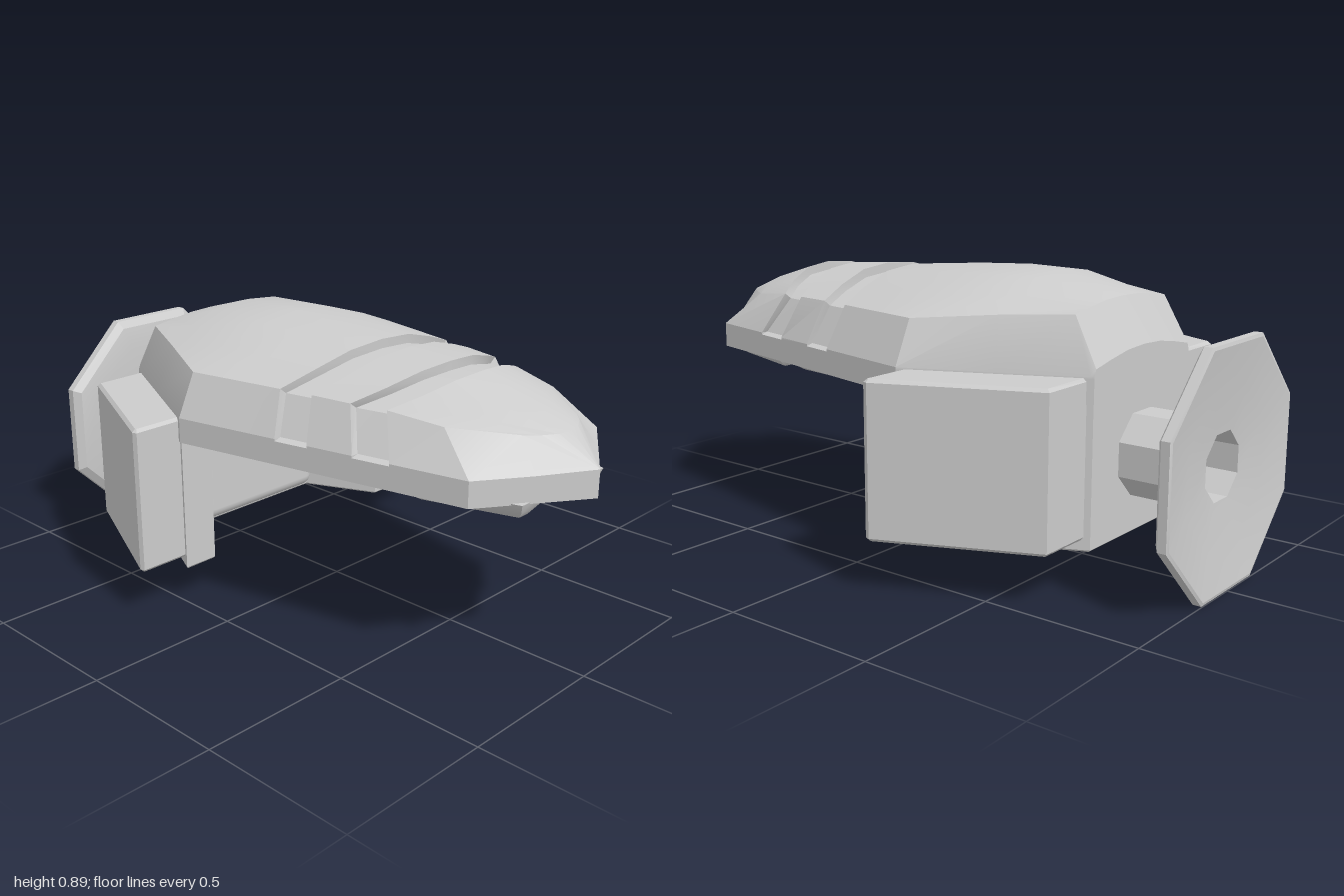
import * as THREE from 'three';
import { toCreasedNormals } from 'three/addons/utils/BufferGeometryUtils.js';
import { RoundedBoxGeometry } from 'three/addons/geometries/RoundedBoxGeometry.js';

const grey = new THREE.MeshStandardMaterial({ color: 0xcccccc });

function add(parent, name, geometry) {
  const mesh = new THREE.Mesh(geometry, grey);
  mesh.name = name;
  parent.add(mesh);
  return mesh;
}

// Half width of the shell outline at depth z
function halfWidth(z) {
  const p = [[-0.7, 0.27], [-0.18, 0.513], [0.79, 0.31], [1, 0]];
  for (let i = 0; i < 3; i++) {
    const [z0, w0] = p[i], [z1, w1] = p[i + 1];
    if (z <= z1) return w0 + (w1 - w0) * Math.max(0, (z - z0) / (z1 - z0));
  }
  return 0;
}

// Half cross-section from ridge to underside centre; recess sinks it into a groove
function section(zc, h, [xs, ys, zs], zSill, recess = 0) {
  const top = h - recess, shoulder = ys - recess * 0.6, xr = xs - recess * 0.8;
  const rib = (f, drop) => [xr * f, top + (shoulder - top) * drop, zc + (zs - zc) * f * f];
  const w = halfWidth(zSill);
  return [
    [0, top, zc], rib(0.35, 0.12), rib(0.7, 0.55), rib(1, 1),
    [Math.max(0, w - recess * 0.8), 0.645, zSill], [w, 0.638, zSill],
    [w, 0.565, zSill], [0, 0.565, zSill],
  ];
}

// Skin mirrored half sections into one closed surface
function loft(halves) {
  const rings = halves.map(h => [...h, ...h.slice(1, -1).reverse().map(([x, y, z]) => [-x, y, z])]);
  const n = rings[0].length, index = [];
  for (let i = 0; i < rings.length - 1; i++) {
    for (let j = 0; j < n; j++) {
      const a = i * n + j, b = i * n + (j + 1) % n, c = b + n, d = a + n;
      index.push(a, d, c, a, c, b);
    }
  }
  const g = new THREE.BufferGeometry();
  g.setAttribute('position', new THREE.Float32BufferAttribute(rings.flat(2), 3));
  g.setIndex(index);
  return toCreasedNormals(g, 0.4);
}

function shellGeometry() {
  const mainFront = [0.195, 0.868, [0.385, 0.78, 0.14], 0.17];
  const bandBack = [0.305, 0.864, [0.363, 0.78, 0.25], 0.28];
  const bandFront = [0.47, 0.853, [0.338, 0.778, 0.38], 0.43];
  const toeBack = [0.59, 0.848, [0.305, 0.775, 0.49], 0.55];
  const sections = [
    section(-0.7, 0.70, [0.262, 0.665, -0.7], -0.7),
    section(-0.62, 0.835, [0.25, 0.81, -0.62], -0.69),
    section(-0.42, 0.895, [0.341, 0.80, -0.42], -0.45),
    section(-0.18, 0.895, [0.45, 0.78, -0.18], -0.18),
    section(0, 0.885, [0.417, 0.78, -0.02], 0),
    section(...mainFront), section(...mainFront, 0.03),
    section(...bandBack, 0.03), section(...bandBack),
    section(...bandFront), section(...bandFront, 0.03),
    section(...toeBack, 0.03), section(...toeBack),
    section(0.75, 0.797, [0.26, 0.755, 0.66], 0.79),
    section(0.9, 0.738, [0.13, 0.74, 0.83], 0.895),
    section(1, 0.65, [0, 0.65, 1], 1),
  ];
  // Collapsed first ring closes the rear
  sections.unshift(sections[0].map(() => [0, 0.62, -0.7]));
  return loft(sections);
}

// Upright prism from a plan outline of [x, z] points
function prism(points, y0, y1, bevel) {
  const shape = new THREE.Shape(points.map(([x, z]) => new THREE.Vector2(x, -z)));
  const g = new THREE.ExtrudeGeometry(shape, {
    depth: y1 - y0 - 2 * bevel, bevelThickness: bevel, bevelSize: bevel,
    bevelOffset: -bevel, bevelSegments: 1,
  });
  g.rotateX(-Math.PI / 2);
  g.translate(0, y0 + bevel, 0);
  return g;
}

// Underside cushion: narrower at its foot, hollowed along the middle
function cushion(z0, z1, w0, w1) {
  const g = new THREE.BoxGeometry(2, 1, 1, 8, 2, 4);
  const p = g.attributes.position;
  for (let i = 0; i < p.count; i++) {
    const u = p.getX(i), v = p.getZ(i), down = 0.5 - p.getY(i);
    const w = w0 + (w1 - w0) * (v + 0.5);
    const shrink = 1 - 0.22 * down * down;
    const depth = 0.06 - 0.027 * Math.max(0, 1 - (u / 0.75) ** 2);
    p.setXYZ(i, u * w * shrink, 0.57 - depth * down, (z0 + z1) / 2 + v * (z1 - z0) * shrink);
  }
  return toCreasedNormals(g, 0.6);
}

export function createModel() {
  const model = new THREE.Group();
  model.name = 'armouredGuard';

  add(model, 'topShell', shellGeometry());

  // U-shaped body, open at the front
  const half = [[0.508, -0.18], [0.39, -0.18], [0.28, -0.43]];
  const body = [
    [0.268, -0.698], ...half,
    ...half.slice().reverse().map(([x, z]) => [-x, z]), [-0.268, -0.698],
  ];
  add(model, 'body', prism(body, 0.13, 0.645, 0.006));

  // Soft pad against the inner back wall
  add(model, 'innerPad', new RoundedBoxGeometry(0.52, 0.37, 0.12, 3, 0.04))
    .position.set(0, 0.34, -0.43);

  // Slanted side plates
  for (const side of [1, -1]) {
    const plan = [[0.46, -0.68], [0.67, -0.21], [0.665, -0.195], [0.49, -0.195], [0.26, -0.68]];
    add(model, side > 0 ? 'leftSidePlate' : 'rightSidePlate',
      prism(plan.map(([x, z]) => [side * x, z]), 0.165, 0.64, 0.01));
  }

  // Cushions under the shell
  add(model, 'frontCushion', cushion(0.53, 0.89, 0.31, 0.2));
  add(model, 'middleCushion', cushion(0.24, 0.5, 0.34, 0.31));
  add(model, 'rearCushion', cushion(-0.2, 0.17, 0.37, 0.35));

  // Hollow octagonal stem flaring into a dished end plate
  const profile = [
    [0, 0.68], [0.125, 0.68], [0.125, 0.94], [0.28, 0.94], [0.345, 0.952], [0.37, 0.97],
    [0.37, 0.997], [0.36, 1], [0.23, 0.978], [0.1, 0.965], [0.1, 0.75], [0, 0.75],
  ].map(([r, y]) => new THREE.Vector2(r / Math.cos(Math.PI / 8), y));
  const stem = new THREE.LatheGeometry(profile, 8, Math.PI / 8);
  stem.rotateX(-Math.PI / 2);
  add(model, 'stemAndEndPlate', toCreasedNormals(stem, 0.35)).position.y = 0.375;

  return model;
}
